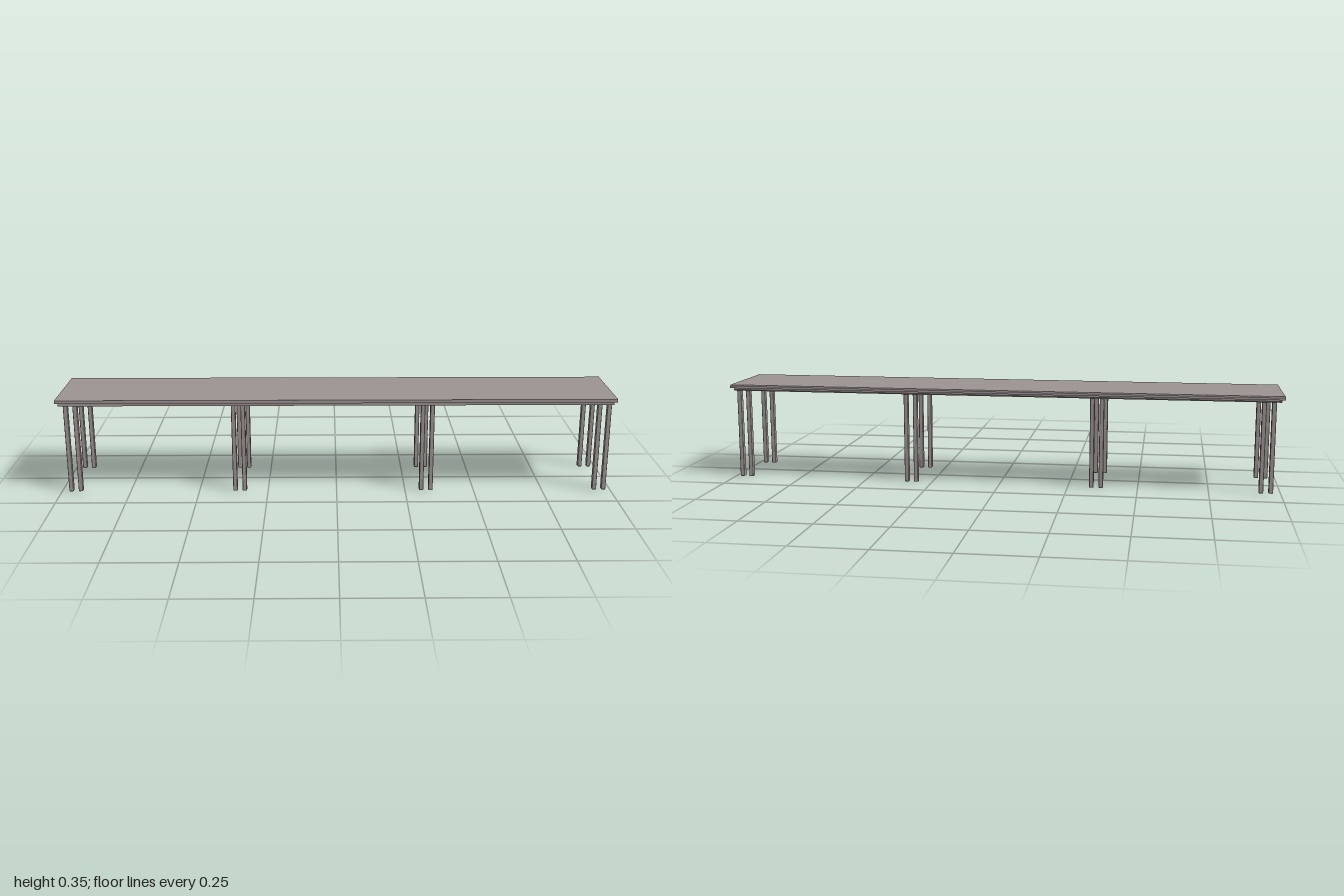
import * as THREE from 'three';
import { RoundedBoxGeometry } from 'three/addons/geometries/RoundedBoxGeometry.js';

export function createModel() {
  const model = new THREE.Group();
  model.name = 'longTable';
  const wood = new THREE.MeshStandardMaterial({ color: 0x9b9291 });
  wood.name = 'greyWood';

  // Extrude a [z, y] side profile along the table's length, centred on x
  const slab = (name, profile, length) => {
    const shape = new THREE.Shape(profile.map(([z, y]) => new THREE.Vector2(-z, y)));
    const geo = new THREE.ExtrudeGeometry(shape, { depth: length, bevelEnabled: false });
    geo.translate(0, 0, -length / 2).rotateY(Math.PI / 2);
    const mesh = new THREE.Mesh(geo, wood);
    mesh.name = name;
    model.add(mesh);
  };

  // Tabletop, its back upper edge chamfered
  slab('tabletop', [
    [0.151, 0.337], [-0.151, 0.337], [-0.151, 0.345], [-0.147, 0.349], [0.151, 0.349],
  ], 2);

  // Under-panel, its back lower edge chamfered
  slab('underPanel', [
    [0.143, 0.326], [-0.136, 0.326], [-0.141, 0.331], [-0.141, 0.337], [0.143, 0.337],
  ], 1.98);

  // Paired legs in four rows, front and back
  const legGeo = new RoundedBoxGeometry(0.016, 0.33, 0.02, 2, 0.003);
  const rows = [-0.949, -0.352, 0.326, 0.959];
  for (const [side, z] of [['front', 0.128], ['back', -0.117]]) {
    for (const x of rows) {
      const pair = new THREE.Group();
      pair.name = side + 'LegPair';
      pair.position.set(x, 0.165, z);
      for (const s of [-1, 1]) {
        const leg = new THREE.Mesh(legGeo, wood);
        leg.name = 'leg';
        leg.position.x = s * 0.017;
        pair.add(leg);
      }
      model.add(pair);
    }
  }
  return model;
}
